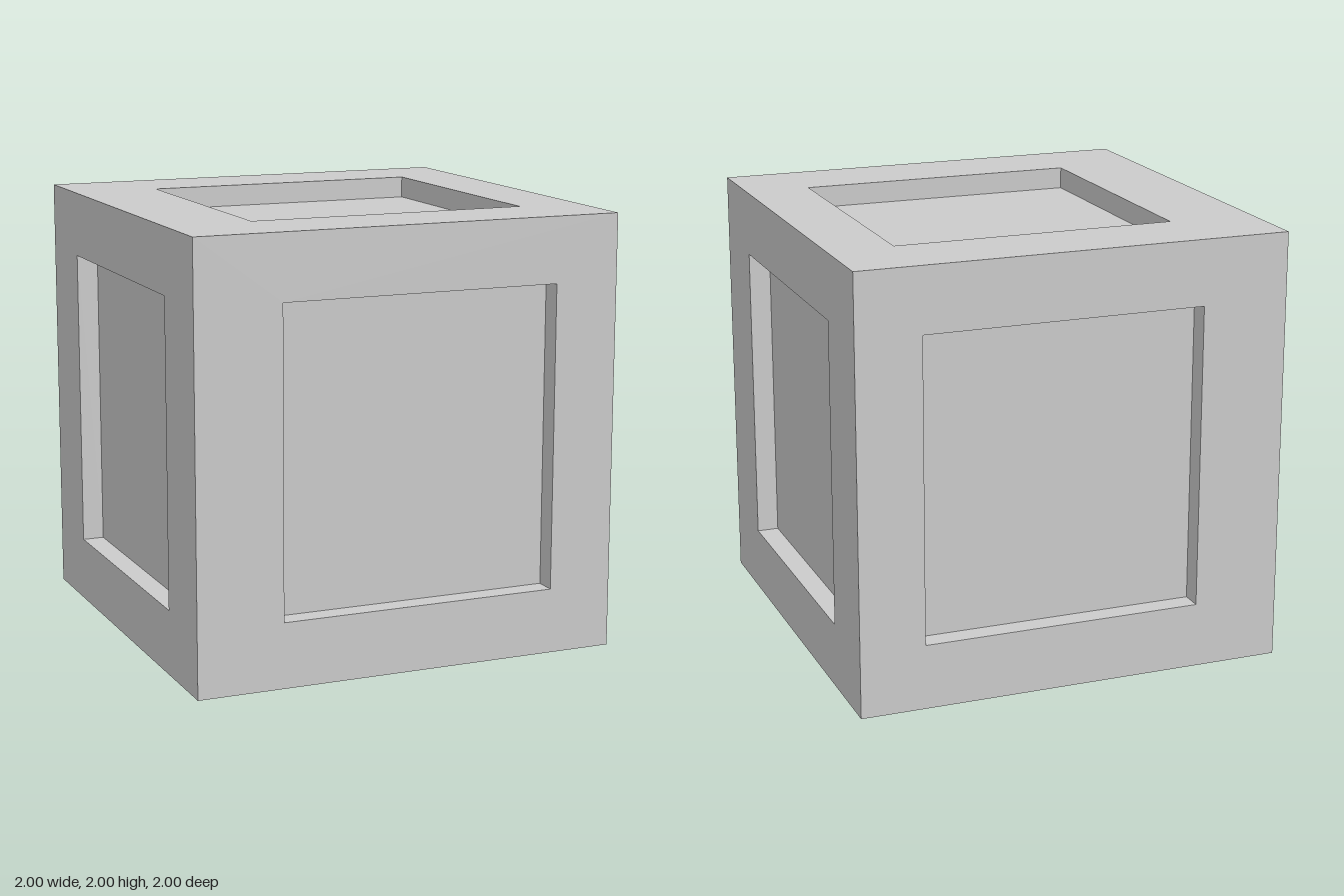
import * as THREE from 'three';

const HALF = 1;
const DEPTH = 0.1;
// Extents shared by the recesses on opposite sides, relative to the cube centre
const RECESS_SIZE = new THREE.Vector3(1.3, 1.4, 1.267);
const RECESS_CENTRE = new THREE.Vector3(0.05, 0, 0);

// Each side: name, direction across the face, direction up the face
const SIDES = [
  ['front', [1, 0, 0], [0, 1, 0]],
  ['back', [-1, 0, 0], [0, 1, 0]],
  ['left', [0, 0, -1], [0, 1, 0]],
  ['right', [0, 0, 1], [0, 1, 0]],
  ['top', [1, 0, 0], [0, 0, -1]],
  ['bottom', [1, 0, 0], [0, 0, 1]],
];

function rectangle(path, cx, cy, w, h) {
  path.moveTo(cx - w / 2, cy - h / 2);
  path.lineTo(cx + w / 2, cy - h / 2);
  path.lineTo(cx + w / 2, cy + h / 2);
  path.lineTo(cx - w / 2, cy + h / 2);
  path.closePath();
  return path;
}

// Open-fronted box seen from inside: four walls and a floor
function pocketGeometry(w, h, depth) {
  const geometry = new THREE.BoxGeometry(w, h, depth);
  const index = Array.from(geometry.index.array);
  index.splice(24, 6); // drop the front cap
  geometry.setIndex(index.reverse()); // turn the faces inward
  geometry.computeVertexNormals();
  return geometry;
}

export function createModel() {
  const model = new THREE.Group();
  model.name = 'recessedCube';
  const material = new THREE.MeshStandardMaterial({ color: 0xcccccc, flatShading: true });

  for (const [name, across, up] of SIDES) {
    const u = new THREE.Vector3(...across);
    const v = new THREE.Vector3(...up);
    const n = new THREE.Vector3().crossVectors(u, v);
    const w = Math.abs(RECESS_SIZE.dot(u));
    const h = Math.abs(RECESS_SIZE.dot(v));
    const cx = RECESS_CENTRE.dot(u);
    const cy = RECESS_CENTRE.dot(v);

    const side = new THREE.Group();
    side.name = name + 'Side';

    // Flat border around the recess
    const outline = rectangle(new THREE.Shape(), 0, 0, 2 * HALF, 2 * HALF);
    outline.holes.push(rectangle(new THREE.Path(), cx, cy, w, h));
    const border = new THREE.Mesh(new THREE.ShapeGeometry(outline), material);
    border.name = name + 'Border';
    border.position.z = HALF;

    // Shallow recess
    const recess = new THREE.Mesh(pocketGeometry(w, h, DEPTH), material);
    recess.name = name + 'Recess';
    recess.position.set(cx, cy, HALF - DEPTH / 2);

    side.add(border, recess);
    side.quaternion.setFromRotationMatrix(new THREE.Matrix4().makeBasis(u, v, n));
    side.position.y = HALF;
    model.add(side);
  }
  return model;
}
